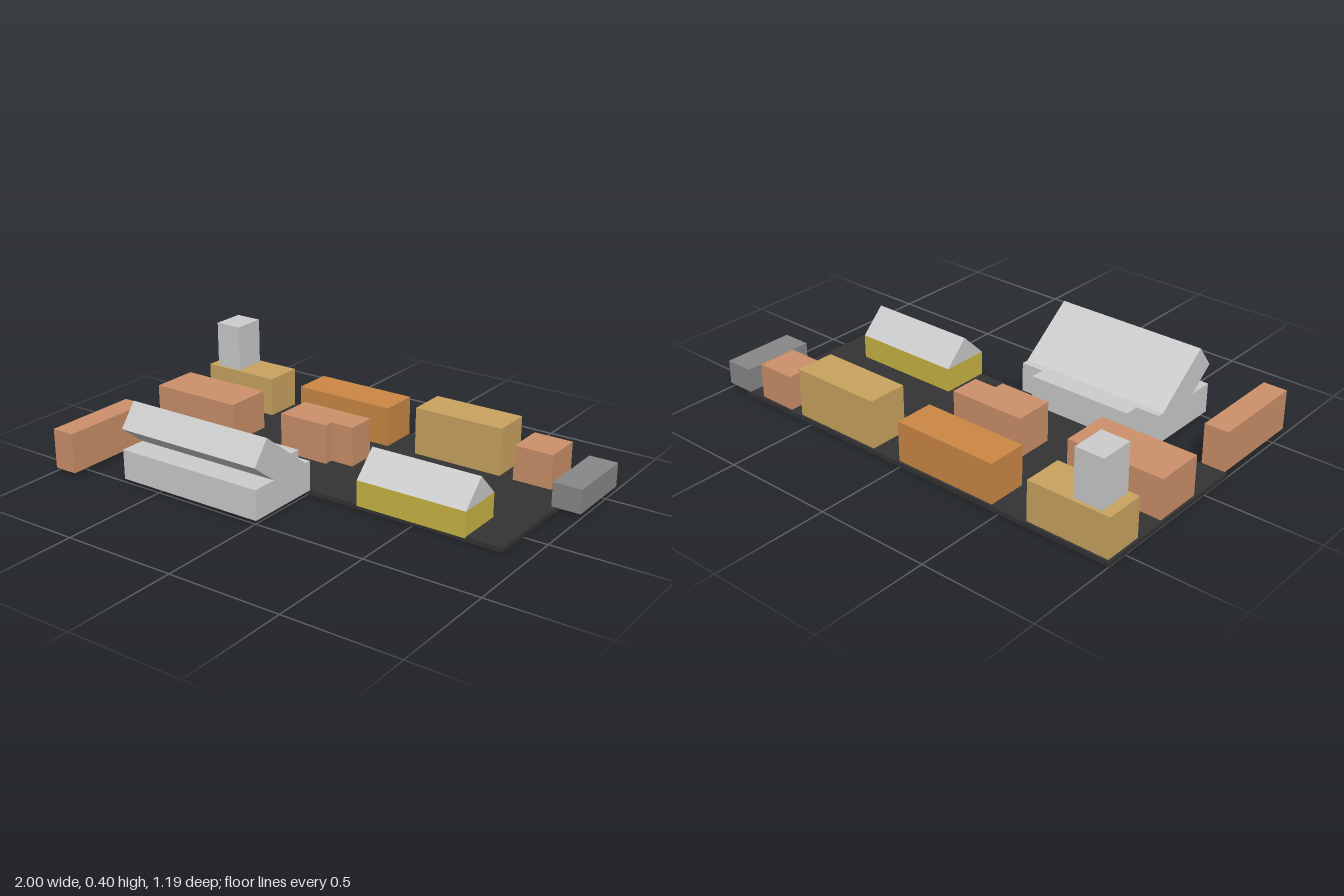
import * as THREE from 'three';

const paint = (name, color) => {
  const m = new THREE.MeshStandardMaterial({ color });
  m.name = name;
  return m;
};

export function createModel() {
  const model = new THREE.Group();
  model.name = 'industrialSite';

  const asphalt = paint('asphalt', 0x333333);
  const brick = paint('brick', 0xcc9069);
  const sand = paint('sand', 0xcaa45f);
  const orange = paint('orange', 0xcc8844);
  const mustard = paint('mustard', 0xcab544);
  const paleGrey = paint('paleGrey', 0xcccccc);
  const midGrey = paint('midGrey', 0x888888);

  // Box given by its extents on each axis
  const block = (name, mat, [x0, x1], [y0, y1], [z0, z1]) => {
    const mesh = new THREE.Mesh(new THREE.BoxGeometry(x1 - x0, y1 - y0, z1 - z0), mat);
    mesh.position.set((x0 + x1) / 2, (y0 + y1) / 2, (z0 + z1) / 2);
    mesh.name = name;
    model.add(mesh);
  };

  // Prism running along x, with its outline given as [z, y] points
  const prism = (name, mat, [x0, x1], outline) => {
    const shape = new THREE.Shape(outline.map(([z, y]) => new THREE.Vector2(-z, y)));
    const geo = new THREE.ExtrudeGeometry(shape, { depth: x1 - x0, bevelEnabled: false });
    geo.rotateY(Math.PI / 2);
    geo.translate(x0, 0, 0);
    const mesh = new THREE.Mesh(geo, mat);
    mesh.name = name;
    model.add(mesh);
  };

  const ground = 0.02, mid = [ground, 0.195], backRow = [-0.585, -0.41];

  block('groundSlab', asphalt, [-1, 0.895], [0, ground], [-0.595, 0.16]);

  // Back row
  block('towerBase', sand, [-0.99, -0.625], mid, backRow);
  block('tower', paleGrey, [-0.945, -0.82], [0.195, 0.403], [-0.57, -0.42]);
  block('orangeHall', orange, [-0.46, 0.01], mid, backRow);
  block('sandHall', sand, [0.15, 0.563], [ground, 0.23], backRow);
  block('smallBrickHall', brick, [0.625, 0.8], [ground, 0.172], backRow);
  block('greyShed', midGrey, [0.873, 1], [ground, 0.125], [-0.595, -0.27]);

  // Middle row, the second hall being L-shaped
  block('brickHall', brick, [-0.99, -0.56], mid, [-0.268, -0.052]);
  const plan = [[-0.33, -0.268], [0.012, -0.268], [0.012, -0.137], [-0.095, -0.137], [-0.095, -0.095], [-0.33, -0.095]];
  const corner = new THREE.ExtrudeGeometry(
    new THREE.Shape(plan.map(([x, z]) => new THREE.Vector2(x, -z))),
    { depth: mid[1] - ground, bevelEnabled: false });
  corner.rotateX(-Math.PI / 2);
  corner.translate(0, ground, 0);
  const cornerHall = new THREE.Mesh(corner, brick);
  cornerHall.name = 'cornerHall';
  model.add(cornerHall);

  // Front left
  block('frontBrickHall', brick, [-0.99, -0.885], mid, [0.16, 0.592]);

  // Large hall with a tilted slab roof and a rear annex
  const hallX = [-0.678, 0.01];
  block('largeHall', paleGrey, hallX, [ground, 0.15], [0.16, 0.51]);
  block('largeHallAnnex', paleGrey, [-0.572, -0.095], [ground, 0.15], [0.095, 0.16]);
  prism('tiltedRoof', paleGrey, hallX, [[0.51, 0.24], [0.433, 0.34], [0.183, 0.145], [0.26, 0.045]]);

  // Gabled house
  const houseX = [0.24, 0.735];
  block('houseWalls', mustard, houseX, [0.015, 0.126], [-0.052, 0.163]);
  prism('houseRoof', paleGrey, houseX, [[0.163, 0.126], [0.055, 0.232], [-0.052, 0.126]]);

  return model;
}
